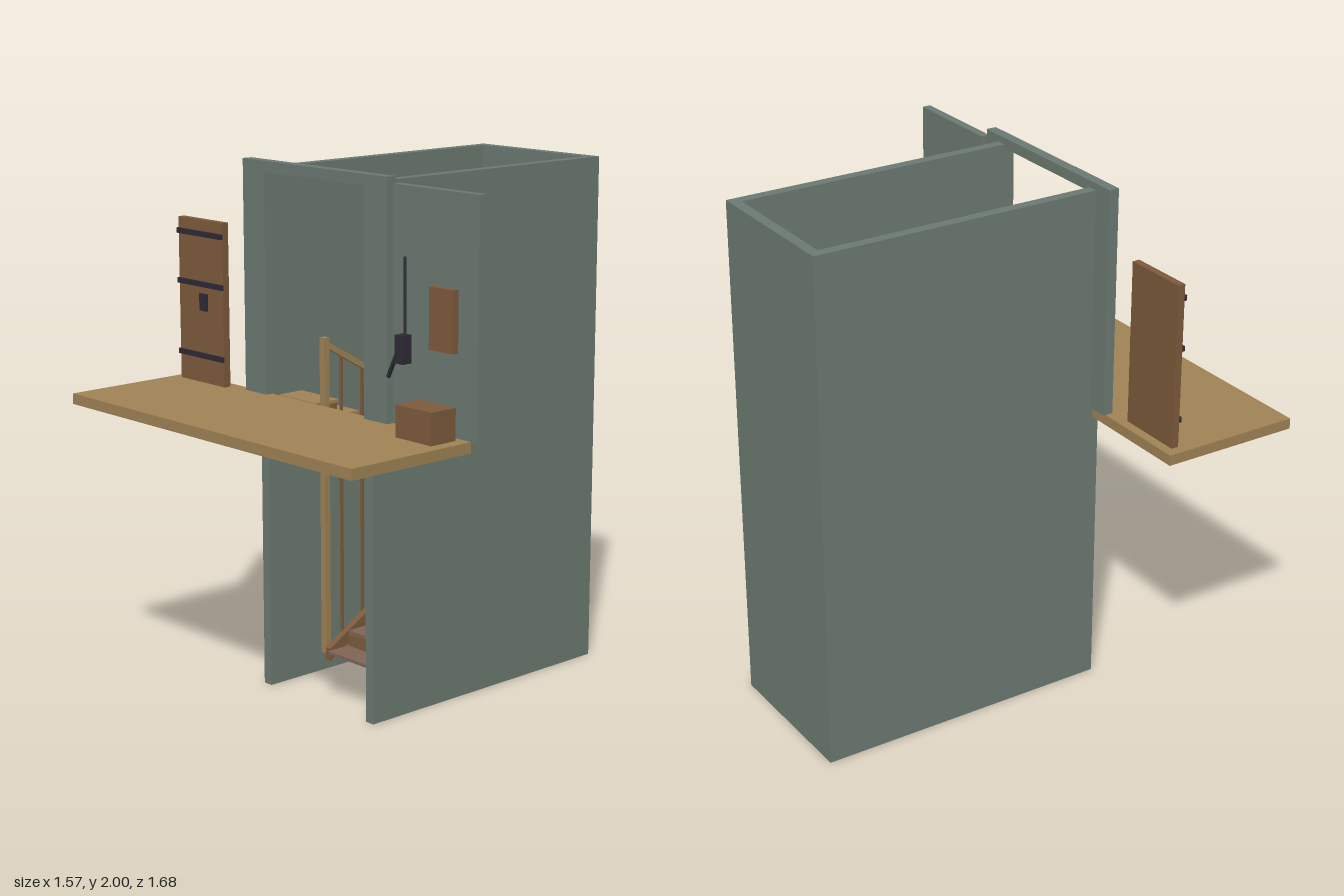
import * as THREE from 'three';

const mat = (name, color) => {
  const m = new THREE.MeshStandardMaterial({ color });
  m.name = name;
  return m;
};

export function createModel() {
  const root = new THREE.Group();
  root.name = 'stairwell';
  const wall = mat('grey green wall', 0x6c7a72);
  const tan = mat('light wood', 0xa08355);
  const wood = mat('brown wood', 0x7d5a3c);
  const worn = mat('worn tread wood', 0x7f6555);
  const iron = mat('dark iron', 0x2f2a35);

  const group = (name) => {
    const g = new THREE.Group();
    g.name = name;
    root.add(g);
    return g;
  };
  const add = (parent, name, geo, m) => {
    const mesh = new THREE.Mesh(geo, m);
    mesh.name = name;
    parent.add(mesh);
    return mesh;
  };
  // Box given by its limits on each axis
  const box = (parent, name, m, x0, x1, y0, y1, z0, z1) => {
    const mesh = add(parent, name, new THREE.BoxGeometry(x1 - x0, y1 - y0, z1 - z0), m);
    mesh.position.set((x0 + x1) / 2, (y0 + y1) / 2, (z0 + z1) / 2);
    return mesh;
  };
  // Sloping board: outline in (z, y), thickness from x0 to x1
  const board = (parent, name, m, x0, x1, points) => {
    const shape = new THREE.Shape(points.map(([z, y]) => new THREE.Vector2(z, y)));
    const geo = new THREE.ExtrudeGeometry(shape, { depth: x1 - x0, bevelEnabled: false });
    geo.rotateY(-Math.PI / 2).translate(x1, 0, 0);
    return add(parent, name, geo, m);
  };

  // Shaft walls
  const shaft = group('shaft');
  box(shaft, 'leftWall', wall, 0.25, 0.29, 0, 1.975, -0.8, 0.318);
  box(shaft, 'rightWall', wall, -0.325, -0.285, 0, 1.975, -0.8, 0.318);
  box(shaft, 'backWall', wall, -0.325, 0.29, 0, 1.975, -0.84, -0.8);

  // Doorway surround and side panel
  const doorway = group('doorway');
  box(doorway, 'leftJamb', wall, 0.25, 0.37, 1.135, 1.96, 0.285, 0.325);
  box(doorway, 'rightJamb', wall, -0.405, -0.285, 1.135, 1.96, 0.285, 0.325);
  box(doorway, 'header', wall, -0.405, 0.37, 1.96, 2.0, 0.285, 0.325);
  box(doorway, 'sidePanel', wall, 0.37, 0.785, 1.135, 1.975, 0.262, 0.295);

  // Upper floor
  box(root, 'upperFloor', tan, -0.79, 0.755, 1.095, 1.135, 0.295, 0.838);

  // Open door with iron straps
  const door = group('door');
  box(door, 'doorLeaf', wood, -0.75, -0.488, 1.135, 1.755, 0.332, 0.36);
  for (const y of [1.24, 1.513, 1.703]) {
    box(door, 'doorStrap', iron, -0.752, -0.486, y - 0.01, y + 0.01, 0.36, 0.369);
  }
  box(door, 'lockPlate', iron, -0.625, -0.58, 1.412, 1.477, 0.36, 0.366);

  // Crate and notice board
  box(root, 'crate', wood, 0.533, 0.708, 1.135, 1.25, 0.322, 0.436);
  box(root, 'noticeBoard', wood, 0.575, 0.69, 1.43, 1.648, 0.295, 0.322);

  // Lever switch with conduit
  const lever = group('leverSwitch');
  box(lever, 'switchBox', iron, 0.432, 0.473, 1.365, 1.465, 0.305, 0.347);
  const conduit = add(lever, 'conduit', new THREE.CylinderGeometry(0.005, 0.005, 0.27, 8), iron);
  conduit.position.set(0.453, 1.6, 0.318);
  const handle = add(lever, 'leverHandle', new THREE.BoxGeometry(0.011, 0.12, 0.011), iron);
  handle.position.set(0.423, 1.365, 0.344);
  handle.rotation.z = -0.46;

  // Stair layout
  const zFront = 0.285, zBack = -0.53, steps = 8;
  const run = (zFront - zBack) / steps, rise = 0.058;
  const landingY = 0.67, bottomY = landingY - rise * steps, climb = rise * steps;

  // Landing and its legs
  const landing = group('landing');
  box(landing, 'landingDeck', tan, -0.285, 0.25, landingY - 0.02, landingY, -0.8, zBack);
  box(landing, 'landingBeam', wood, -0.285, 0.25, 0.6, landingY - 0.02, zBack - 0.025, zBack - 0.002);
  for (const x of [-0.285, 0.227]) {
    box(landing, 'landingLeg', wood, x, x + 0.023, 0, landingY - 0.02, -0.8, -0.775);
  }

  // Upper flight rises to the front, lower flight rises to the back
  const upper = group('upperFlight');
  const lower = group('lowerFlight');
  for (let i = 0; i < steps; i++) {
    const zu = zBack + i * run, yu = landingY + (i + 1) * rise;
    box(upper, 'upperTread', tan, -0.26, -0.053, yu - 0.012, yu, zu - 0.008, zu + run);
    box(upper, 'upperRiser', wood, -0.26, -0.053, yu - rise, yu - 0.012, zu, zu + 0.012);
    const zl = zFront - i * run, yl = bottomY + i * rise;
    box(lower, 'lowerTread', worn, 0.018, 0.225, yl - 0.012, yl, zl - run, zl + 0.008);
    box(lower, 'lowerRiser', wood, 0.018, 0.225, yl, yl + rise - (i < steps - 1 ? 0.012 : -0.005), zl - run, zl - run + 0.012);
  }
  for (const x of [-0.285, -0.055]) {
    board(upper, 'upperStringer', wood, x, x + 0.026, [
      [zBack, 0.62], [zFront, 0.62 + climb], [zFront, 0.67 + climb], [zBack, 0.67]]);
  }
  for (const x of [-0.008, 0.224]) {
    board(lower, 'lowerStringer', wood, x, x + 0.026, [
      [zFront, 0.165], [zFront, 0.213], [zBack, 0.213 + climb], [zBack, 0.165 + climb]]);
  }

  // Newel posts, sloping handrail and balusters between the flights
  const railing = group('railing');
  const slope = climb / (zFront - zBack);
  const railY = (z) => 1.37 + (z - 0.27) * slope;
  box(railing, 'frontNewel', tan, -0.031, -0.006, 0.19, 1.382, 0.26, 0.285);
  box(railing, 'backNewel', tan, -0.031, -0.006, 0.6, railY(-0.53) + 0.02, -0.542, -0.517);
  board(railing, 'handrail', tan, -0.027, -0.01, [
    [-0.53, railY(-0.53) - 0.025], [0.27, railY(0.27) - 0.025], [0.27, railY(0.27)], [-0.53, railY(-0.53)]]);
  for (let i = 1; i < steps; i++) {
    const z = zFront - (i - 0.1) * run;
    const foot = 0.185 + (zFront - z) * slope;
    box(railing, 'baluster', wood, -0.023, -0.013, foot, railY(z) - 0.015, z - 0.005, z + 0.005);
  }

  // Wall lantern at the back
  const lantern = group('lantern');
  box(lantern, 'lanternPlate', iron, -0.042, 0.006, 1.285, 1.44, -0.8, -0.785);
  box(lantern, 'lanternArm', iron, -0.024, -0.012, 1.428, 1.44, -0.785, -0.755);
  box(lantern, 'lanternCap', iron, -0.06, 0.022, 1.425, 1.447, -0.757, -0.693);
  const body = add(lantern, 'lanternBody', new THREE.BoxGeometry(0.064, 0.08, 0.048), tan);
  body.position.set(-0.018, 1.385, -0.725);

  return root;
}
